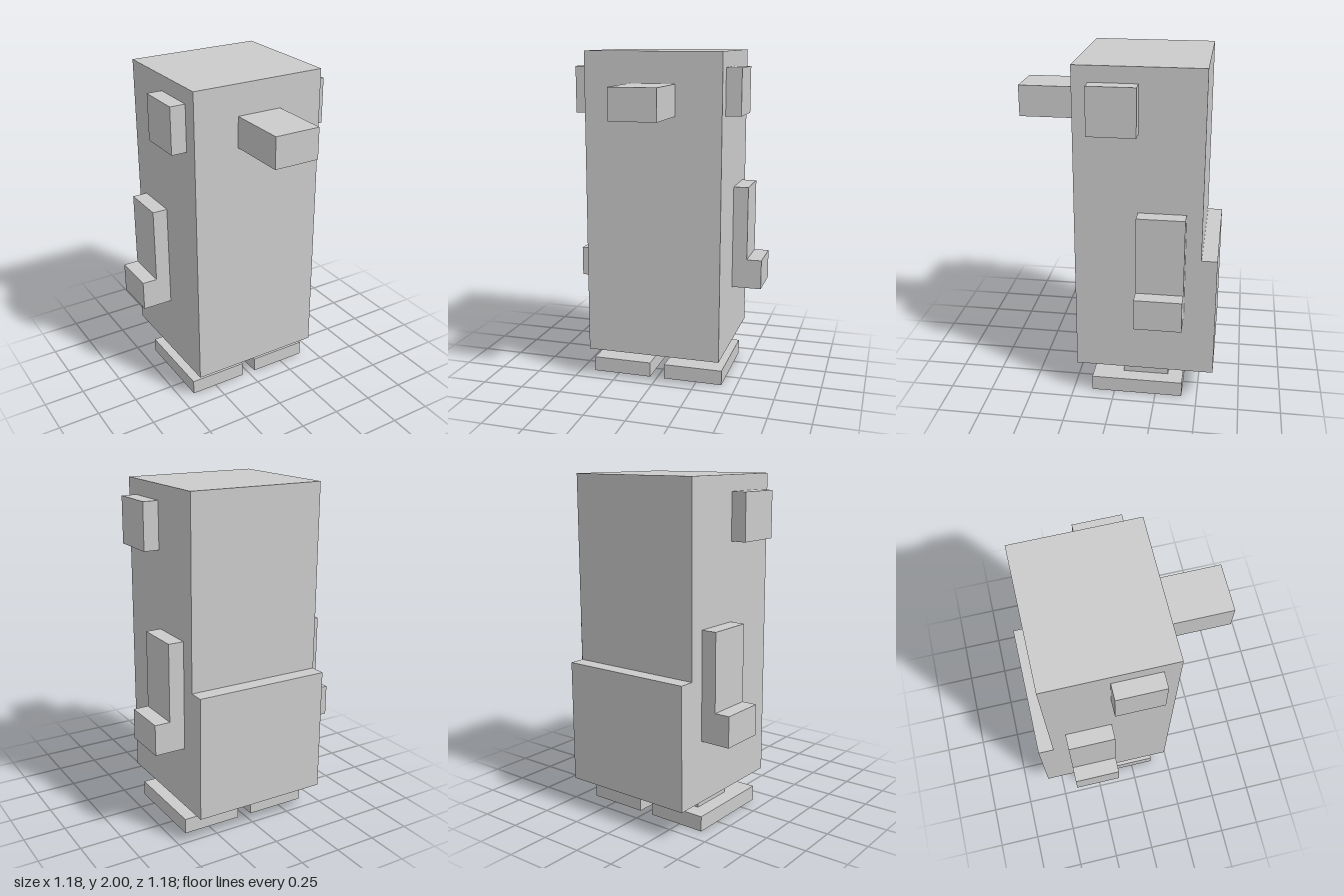
import * as THREE from 'three';

const U = 1 / 11; // one grid cell; all sizes below are in cells
const material = new THREE.MeshStandardMaterial({ color: 0xcccccc, flatShading: true });

function addMesh(parent, name, geometry) {
  geometry.scale(U, U, U);
  const mesh = new THREE.Mesh(geometry, material);
  mesh.name = name;
  parent.add(mesh);
}

// Box given by its [min, max] extent on each axis
function addBox(parent, name, [x0, x1], [y0, y1], [z0, z1]) {
  const g = new THREE.BoxGeometry(x1 - x0, y1 - y0, z1 - z0);
  g.translate((x0 + x1) / 2, (y0 + y1) / 2, (z0 + z1) / 2);
  addMesh(parent, name, g);
}

// Outline extruded from the z = 0 plane
function extrude(points, depth) {
  const shape = new THREE.Shape(points.map(([x, y]) => new THREE.Vector2(x, y)));
  return new THREE.ExtrudeGeometry(shape, { depth, bevelEnabled: false });
}

export function createModel() {
  const model = new THREE.Group();
  model.name = 'blockBird';

  // Body: side profile (z, y) with a stepped lower back, extruded across x
  const body = extrude([[2.5, 2], [2.5, 22], [-5.5, 22], [-5.5, 10], [-6.5, 10], [-6.5, 2]], 9);
  body.translate(0, 0, -4.5).rotateY(-Math.PI / 2);
  addMesh(model, 'body', body);

  addBox(model, 'beak', [-1.5, 1.5], [18, 20], [2.5, 6.5]);

  // Paired parts, mirrored in x
  for (const [side, s] of [['left', 1], ['right', -1]]) {
    const span = (a, b) => (s > 0 ? [a, b] : [-b, -a]);
    addBox(model, side + 'Eye', span(4.5, 5.5), [18, 21], [-1.5, 1.5]);

    // Wing: L-shaped front outline with a tip turned outward
    const outline = [[4.5, 6], [6.5, 6], [6.5, 8], [5.5, 8], [5.5, 13], [4.5, 13]];
    const wing = extrude(outline.map(([x, y]) => [s * x, y]), 3);
    wing.translate(0, 0, -4.5);
    addMesh(model, side + 'Wing', wing);

    addBox(model, side + 'Leg', span(1.5, 3.5), [1, 2], [-3.5, -0.5]);
    addBox(model, side + 'Foot', span(0.5, 4.5), [0, 1], [-4.5, 1.5]);
  }
  return model;
}
